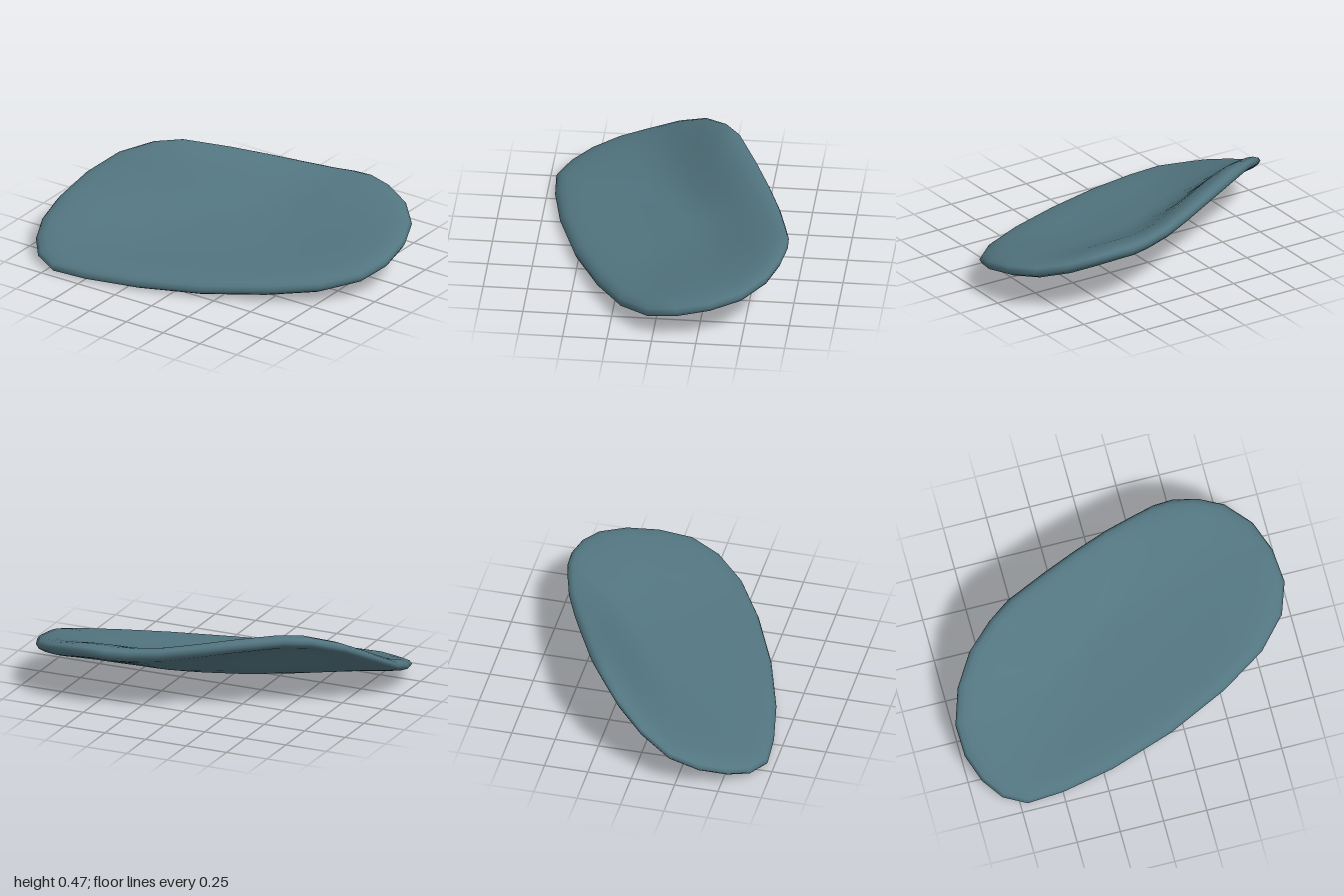
import * as THREE from 'three';

// Rim of the pad: x, height, z, going round from the right end over the back
const RIM = [
  [-1, 0.185, 0.22], [-0.94, 0.28, 0.04], [-0.83, 0.37, -0.12], [-0.68, 0.425, -0.25],
  [-0.55, 0.437, -0.34], [-0.3, 0.412, -0.46], [-0.1, 0.386, -0.55], [0.1, 0.361, -0.63],
  [0.27, 0.35, -0.68], [0.39, 0.35, -0.71], [0.5, 0.352, -0.715], [0.64, 0.336, -0.69],
  [0.78, 0.304, -0.63], [0.91, 0.26, -0.5], [0.98, 0.225, -0.33], [1, 0.19, -0.14],
  [0.94, 0.145, 0.03], [0.78, 0.107, 0.2], [0.52, 0.078, 0.36], [0.17, 0.05, 0.52],
  [-0.2, 0.035, 0.64], [-0.5, 0.028, 0.7], [-0.71, 0.027, 0.715], [-0.84, 0.042, 0.65],
  [-0.93, 0.08, 0.54], [-0.99, 0.127, 0.39],
];

// Rounded edge section: distance from the middle, share of the half thickness
const SECTION = [
  [0.15, 1], [0.3, 1], [0.45, 1], [0.6, 1], [0.72, 0.99], [0.82, 0.96],
  [0.9, 0.9], [0.95, 0.77], [0.985, 0.46], [1, 0],
];
const TOP = 0.043, BOTTOM = 0.05;      // half thicknesses
const MIDDLE = 0.135, SLOPE_X = -0.03, SLOPE_Z = -0.2; // tilt of the dish floor
const WALL_START = 0.25, WALL_END = 0.94; // where the curled wall begins and levels off

// Dished pad: rings running from the top middle, round the edge, to the bottom middle
function padGeometry() {
  const n = RIM.length;
  const rings = [
    ...SECTION.map(([s, t]) => [s, t, 1]),
    ...SECTION.slice(0, -1).reverse().map(([s, t]) => [s, t, -1]),
  ];
  const positions = [0, MIDDLE + TOP, 0];
  for (const [s, t, side] of rings) {
    const curl = THREE.MathUtils.smoothstep(s, WALL_START, WALL_END);
    for (const [x, y, z] of RIM) {
      const tilt = SLOPE_X * x + SLOPE_Z * z;
      const lift = y - MIDDLE - tilt; // how far the rim curls above the floor
      const offset = side > 0 ? TOP * t : -(BOTTOM + 0.01 * x * s) * t;
      positions.push(x * s, MIDDLE + tilt * s + lift * curl + offset, z * s);
    }
  }
  positions.push(0, MIDDLE - BOTTOM, 0);

  const index = [];
  const last = rings.length - 1;
  const at = (k, i) => 1 + k * n + (i % n);
  const bottomPole = 1 + rings.length * n;
  for (let i = 0; i < n; i++) {
    index.push(0, at(0, i + 1), at(0, i));
    for (let k = 0; k < last; k++) {
      const a = at(k, i), b = at(k, i + 1), c = at(k + 1, i), d = at(k + 1, i + 1);
      index.push(a, b, d, a, d, c);
    }
    index.push(at(last, i), at(last, i + 1), bottomPole);
  }

  const geometry = new THREE.BufferGeometry();
  geometry.setAttribute('position', new THREE.Float32BufferAttribute(positions, 3));
  geometry.setIndex(index);
  geometry.computeBoundingBox();
  geometry.translate(0, -geometry.boundingBox.min.y, 0); // rest on the ground
  geometry.computeVertexNormals();
  return geometry;
}

export function createModel() {
  const group = new THREE.Group();
  group.name = 'curvedPad';
  const pad = new THREE.Mesh(
    padGeometry(),
    new THREE.MeshStandardMaterial({ color: 0x527580 }),
  );
  pad.name = 'pad';
  group.add(pad);
  return group;
}
